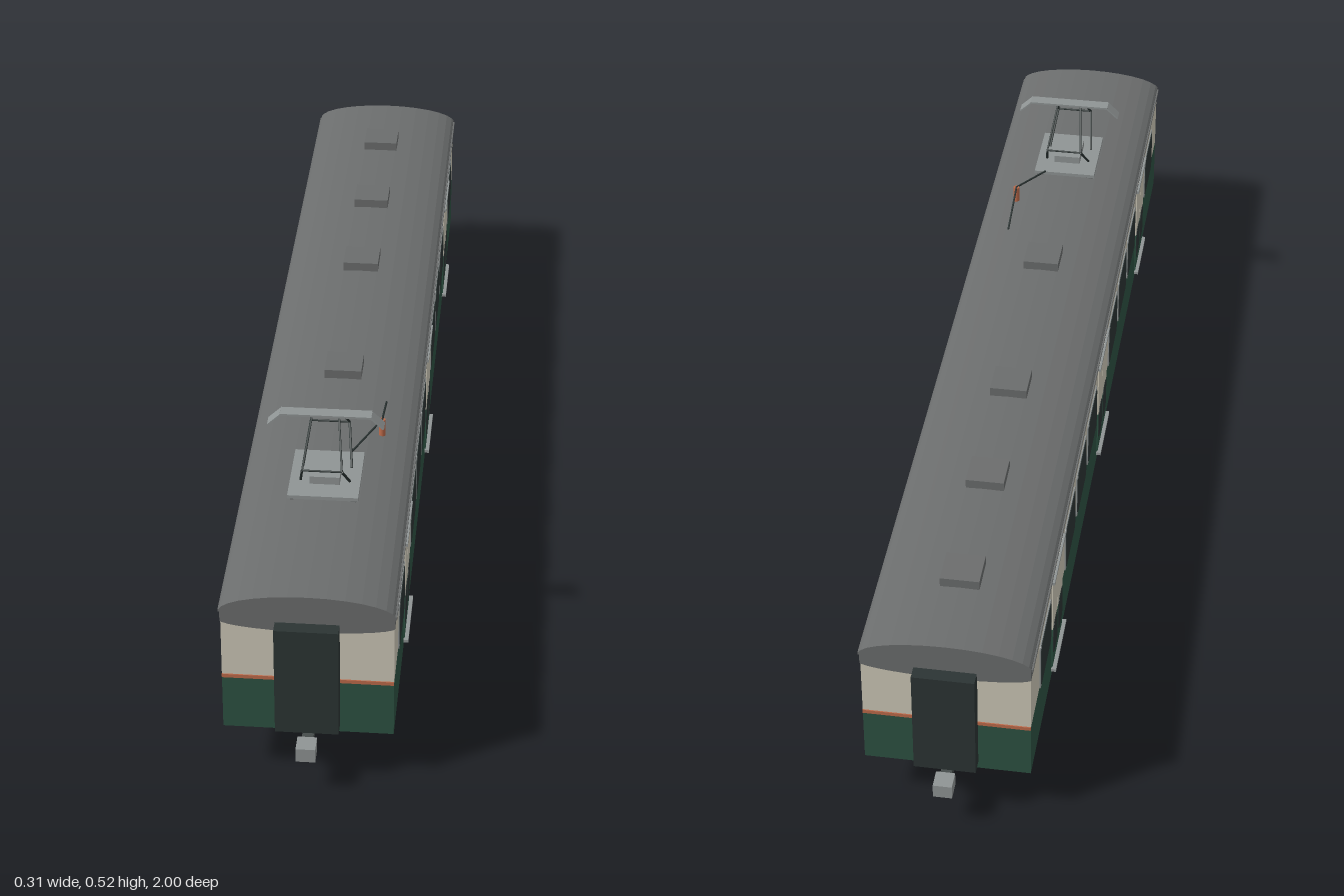
import * as THREE from 'three';

export function createModel() {
  const root = new THREE.Group();
  root.name = 'electricRailcar';
  const mat = (name, color, extra = {}) => {
    const m = new THREE.MeshStandardMaterial({ color, ...extra });
    m.name = name;
    return m;
  };
  const cream = mat('cream', 0xcdc8b7);
  const green = mat('green', 0x2d5242);
  const roofGrey = mat('roofGrey', 0x6b6d6d);
  const dark = mat('darkGlass', 0x2b3433);
  const black = mat('underframeBlack', 0x242a2a);
  const metal = mat('metalGrey', 0x8f9494);
  const steel = mat('wheelSteel', 0x454b4a);
  const rust = mat('rustBrown', 0x7a5648);
  const orange = mat('orange', 0xbd6a4a);

  const add = (name, geo, material, x = 0, y = 0, z = 0, parent = root) => {
    const m = new THREE.Mesh(geo, material);
    m.name = name;
    m.position.set(x, y, z);
    parent.add(m);
    return m;
  };
  // box given by its limits
  const box = (name, material, x0, x1, y0, y1, z0, z1, parent = root) =>
    add(name, new THREE.BoxGeometry(x1 - x0, y1 - y0, z1 - z0), material,
      (x0 + x1) / 2, (y0 + y1) / 2, (z0 + z1) / 2, parent);
  // straight bar between two points
  const bar = (name, material, a, b, r, parent = root) => {
    const p = new THREE.Vector3(...a), q = new THREE.Vector3(...b);
    const d = q.clone().sub(p);
    const m = add(name, new THREE.CylinderGeometry(r, r, d.length(), 6), material, 0, 0, 0, parent);
    m.position.copy(p).add(q).multiplyScalar(0.5);
    m.quaternion.setFromUnitVectors(new THREE.Vector3(0, 1, 0), d.normalize());
    return m;
  };
  // thin plate with rounded corners, facing sideways
  const sidePlate = (name, material, s, x, y0, y1, z0, z1, r, depth = 0.003) => {
    const w = (z1 - z0) / 2, h = (y1 - y0) / 2;
    const shape = new THREE.Shape();
    shape.moveTo(-w + r, -h);
    shape.lineTo(w - r, -h); shape.quadraticCurveTo(w, -h, w, -h + r);
    shape.lineTo(w, h - r); shape.quadraticCurveTo(w, h, w - r, h);
    shape.lineTo(-w + r, h); shape.quadraticCurveTo(-w, h, -w, h - r);
    shape.lineTo(-w, -h + r); shape.quadraticCurveTo(-w, -h, -w + r, -h);
    const geo = new THREE.ExtrudeGeometry(shape, { depth, bevelEnabled: false, curveSegments: 4 });
    const m = add(name, geo, material, s * x, (y0 + y1) / 2, (z0 + z1) / 2);
    m.rotation.y = s * Math.PI / 2;
    return m;
  };

  // body shell
  box('lowerBody', green, -0.148, 0.148, 0.1, 0.21, -0.945, 0.945);
  box('upperBody', cream, -0.148, 0.148, 0.21, 0.338, -0.945, 0.945);

  // lens-shaped roof
  const roofShape = new THREE.Shape();
  const n = 14;
  for (let i = 0; i <= n; i++) {
    const x = 0.149 * Math.cos(Math.PI * i / n);
    const y = 0.347 + 0.036 * Math.sqrt(1 - (x / 0.151) ** 2);
    i ? roofShape.lineTo(x, y) : roofShape.moveTo(x, y);
  }
  for (let i = 0; i <= n; i++) {
    const x = -0.149 * Math.cos(Math.PI * i / n);
    roofShape.lineTo(x, 0.329 - 0.018 * Math.sqrt(1 - (x / 0.151) ** 2));
  }
  add('roof', new THREE.ExtrudeGeometry(roofShape, { depth: 1.896, bevelEnabled: false }), roofGrey, 0, 0, -0.948);
  for (const z of [-0.76, -0.49, -0.215, 0.205]) {
    box('roofVent', roofGrey, -0.035, 0.035, 0.37, 0.4, z - 0.035, z + 0.035);
  }

  // side windows, doors, rails and steps
  const windows = [0.782, 0.472, 0.318, 0.163, -0.155, -0.31, -0.465, -0.78];
  for (const s of [1, -1]) {
    for (const z of windows) {
      sidePlate('windowFrame', metal, s, 0.147, 0.207, 0.307, z - 0.066, z + 0.066, 0.008);
      sidePlate('windowGlass', dark, s, 0.148, 0.211, 0.302, z - 0.061, z + 0.061, 0.012);
    }
    for (const z of [0.63, 0, -0.63]) {
      for (const e of [-1, 1]) {
        const c = z + e * 0.032;
        sidePlate('doorLeafUpper', cream, s, 0.147, 0.21, 0.328, c - 0.031, c + 0.031, 0.001);
        sidePlate('doorLeafLower', green, s, 0.147, 0.112, 0.21, c - 0.031, c + 0.031, 0.001);
        sidePlate('doorGlass', dark, s, 0.148, 0.144, 0.215, c - 0.025, c + 0.025, 0.014);
      }
      const x = s * 0.151;
      box('doorRail', metal, x - 0.003, x + 0.003, 0.322, 0.328, z - 0.068, z + 0.068);
      box('doorStep', metal, x - 0.006, x + 0.006, 0.112, 0.118, z - 0.068, z + 0.068);
    }
    box('gutter', roofGrey, s * 0.149 - 0.003, s * 0.149 + 0.003, 0.343, 0.349, -0.945, 0.945);
  }

  // end doors, stripes and couplers
  for (const s of [1, -1]) {
    const end = new THREE.Group();
    end.name = s > 0 ? 'frontEnd' : 'rearEnd';
    end.rotation.y = s > 0 ? 0 : Math.PI;
    root.add(end);
    box('endDoor', dark, -0.055, 0.055, 0.115, 0.329, 0.94, 0.973, end);
    box('endStripe', orange, -0.148, 0.148, 0.206, 0.213, 0.944, 0.947, end);
    box('couplerHead', metal, -0.017, 0.017, 0.073, 0.1, 0.965, 1, end);
    box('couplerShank', steel, -0.01, 0.01, 0.079, 0.095, 0.85, 0.97, end);
  }

  // underframe and equipment boxes
  box('underframe', black, -0.14, 0.14, 0.089, 0.101, -0.93, 0.93);
  for (const s of [1, -1]) {
    for (const [z0, z1, y] of [[0.31, 0.44, 0.052], [0.17, 0.285, 0.06], [-0.1, 0.11, 0.055],
      [-0.285, -0.17, 0.06], [-0.44, -0.31, 0.052]]) {
      box('equipmentBox', black, Math.min(s * 0.075, s * 0.14), Math.max(s * 0.075, s * 0.14), y, 0.092, z0, z1);
    }
  }
  box('centreTank', black, -0.035, 0.035, 0.062, 0.092, -0.28, 0.28);

  // bogies
  for (const zc of [0.655, -0.65]) {
    const bogie = new THREE.Group();
    bogie.name = 'bogie';
    bogie.position.z = zc;
    root.add(bogie);
    box('bolster', black, -0.048, 0.048, 0.028, 0.092, -0.025, 0.025, bogie);
    for (const s of [1, -1]) {
      const x = s * 0.084;
      box('sideFrame', black, x - 0.008, x + 0.008, 0.05, 0.068, -0.15, 0.15, bogie);
      box('springHousing', black, x - 0.012, x + 0.012, 0.032, 0.092, -0.024, 0.024, bogie);
    }
    for (const z of [-0.11, 0.11]) {
      bar('axle', metal, [-0.08, 0.044, z], [0.08, 0.044, z], 0.006, bogie);
      for (const s of [1, -1]) {
        const tyre = add('wheelTyre', new THREE.CylinderGeometry(0.044, 0.044, 0.012, 24), steel, s * 0.06, 0.044, z, bogie);
        const disc = add('wheelDisc', new THREE.CylinderGeometry(0.042, 0.042, 0.014, 24), rust, s * 0.06, 0.044, z, bogie);
        tyre.rotation.z = disc.rotation.z = Math.PI / 2;
        const x = s * 0.086;
        box('axleBox', black, x - 0.01, x + 0.01, 0.03, 0.064, z - 0.018, z + 0.018, bogie);
      }
    }
  }

  // pantograph
  const panto = new THREE.Group();
  panto.name = 'pantograph';
  panto.position.z = 0.585;
  root.add(panto);
  box('pantographBase', metal, -0.063, 0.063, 0.387, 0.394, -0.075, 0.075, panto);
  box('pantographMount', metal, -0.027, 0.027, 0.392, 0.409, -0.035, 0.035, panto);
  for (const s of [1, -1]) {
    for (const e of [1, -1]) {
      box('baseFoot', roofGrey, s * 0.052 - 0.007, s * 0.052 + 0.007, 0.365, 0.388, e * 0.06 - 0.007, e * 0.06 + 0.007, panto);
      bar('lowerArm', dark, [s * 0.044, 0.394, e * 0.022], [s * 0.035, 0.453, e * 0.083], 0.0025, panto);
      bar('upperArm', dark, [s * 0.035, 0.453, e * 0.083], [s * 0.024, 0.519, e * 0.009], 0.002, panto);
    }
    bar('kneeBar', dark, [-0.035, 0.453, s * 0.083], [0.035, 0.453, s * 0.083], 0.0018, panto);
    const horn = box('headHorn', metal, -0.0155, 0.0155, -0.0015, 0.0015, -0.012, 0.012, panto);
    horn.position.set(s * 0.0915, 0.51, 0);
    horn.rotation.z = -s * 0.76;
  }
  box('contactHead', metal, -0.081, 0.081, 0.519, 0.523, -0.012, 0.012, panto);

  // power lead and insulator
  add('insulator', new THREE.CylinderGeometry(0.006, 0.006, 0.042, 12), orange, 0.088, 0.388, 0.42);
  bar('powerLead', dark, [0.04, 0.395, 0.51], [0.088, 0.409, 0.42], 0.002);
  bar('powerLead', dark, [0.088, 0.409, 0.42], [0.088, 0.378, 0.31], 0.002);
  return root;
}
